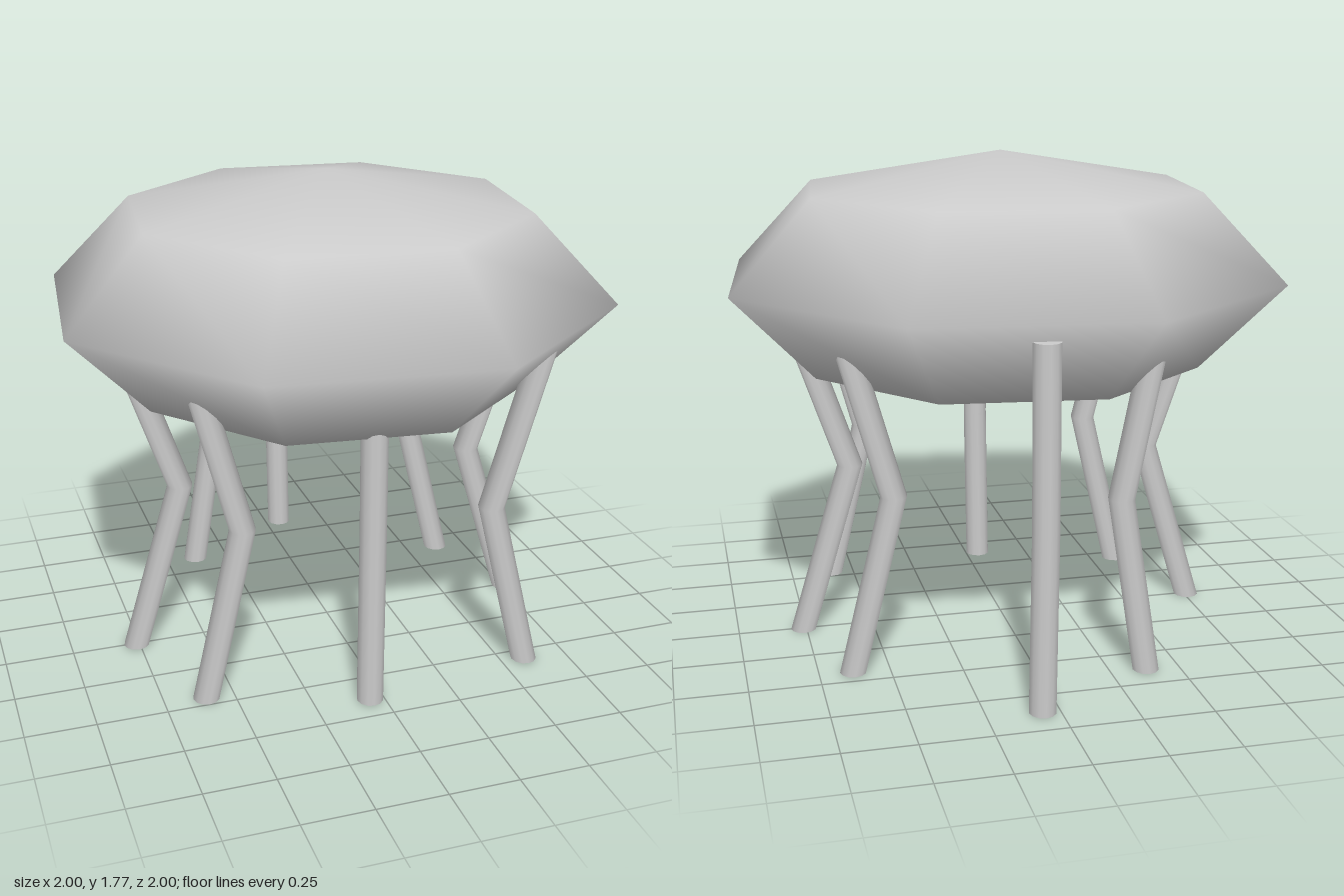
import * as THREE from 'three';

const material = new THREE.MeshStandardMaterial({ color: 0xcccccc });

// Where each foot stands: [x, z]
const FEET = [
  [0.76, 0], [0.59, 0.55], [-0.05, 0.64], [-0.6, 0.45],
  [-0.76, 0], [-0.38, -0.63], [0.06, -0.87], [0.63, -0.42],
];
const KNEE_Y = 0.633;
const LEG_HEIGHT = 1.266;

// Leg: upright cylinder whose rings shift inward at the knee and out again at the hip
function makeLeg([x, z]) {
  const geometry = new THREE.CylinderGeometry(0.05, 0.05, LEG_HEIGHT, 12, 2);
  geometry.scale(0.94, 1, 1).translate(0, LEG_HEIGHT / 2, 0);
  const p = geometry.attributes.position;
  for (let i = 0; i < p.count; i++) {
    const y = p.getY(i);
    const [kx, kz] = y < 0.1 ? [1, 1] : y < KNEE_Y + 0.1 ? [0.75, 0.967] : [1.035, 1.035];
    p.setX(i, p.getX(i) + x * kx);
    p.setZ(i, p.getZ(i) + z * kz);
  }
  return new THREE.Mesh(geometry, material);
}

export function createModel() {
  const model = new THREE.Group();

  // Body: flattened eight-sided, smooth-shaded ball
  const body = new THREE.Mesh(new THREE.SphereGeometry(1, 8, 4), material);
  body.name = 'body';
  body.scale.set(1.04, 0.443, 1.04);
  body.rotation.y = 0.283;
  body.position.y = 1.328;
  model.add(body);

  // Eight kinked legs
  const legs = new THREE.Group();
  legs.name = 'legs';
  FEET.forEach((foot, i) => {
    const leg = makeLeg(foot);
    leg.name = `leg${i + 1}`;
    legs.add(leg);
  });
  model.add(legs);

  return model;
}
